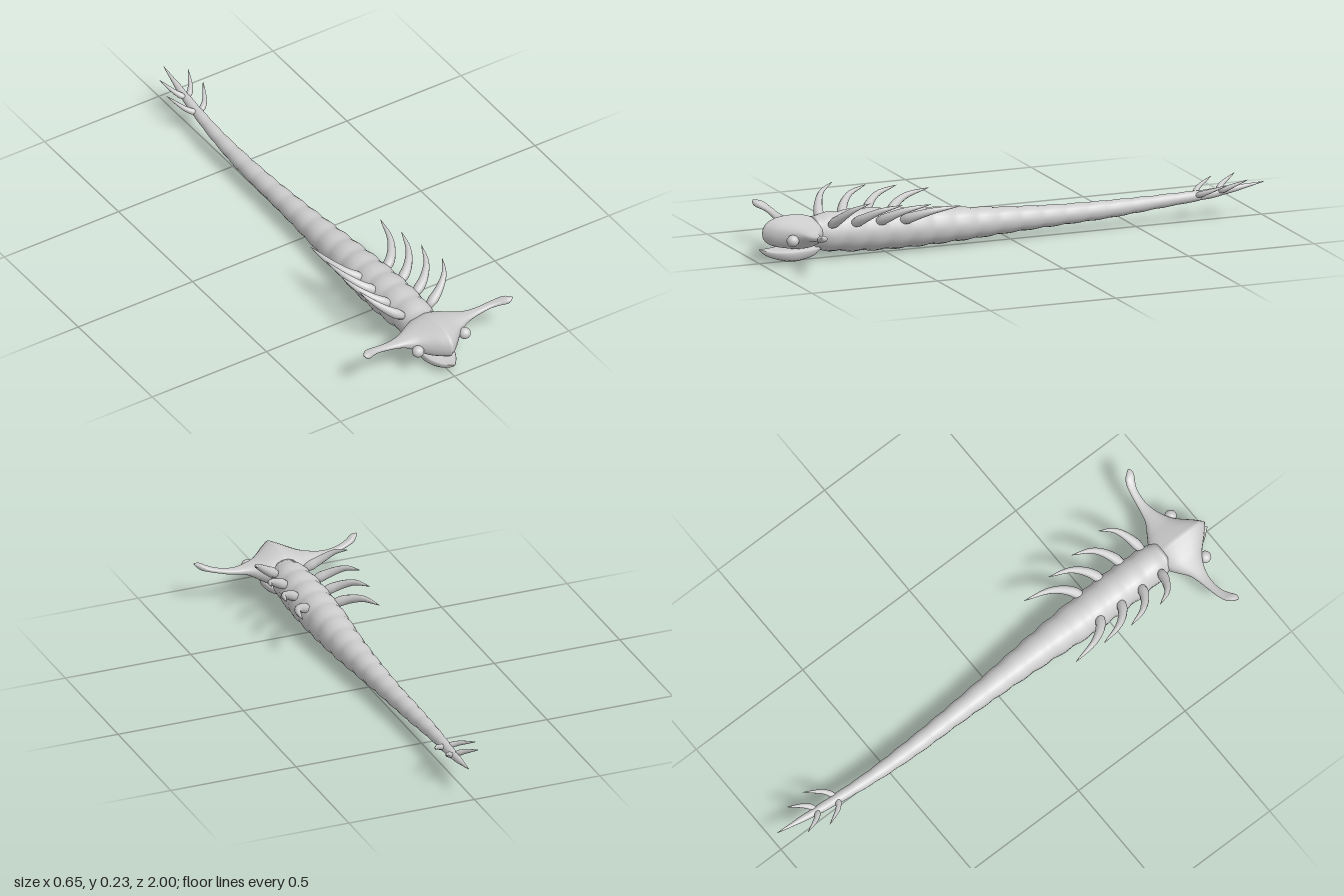
import * as THREE from 'three';

const V = (x, y, z) => new THREE.Vector3(x, y, z);

// Closed skin over a list of rings, each ring turning counter-clockwise about the travel direction
function loft(rings) {
  const n = rings[0].length, m = rings.length, pos = [], idx = [];
  rings.forEach(r => r.forEach(p => pos.push(p.x, p.y, p.z)));
  for (let i = 0; i < m - 1; i++) {
    for (let j = 0; j < n; j++) {
      const k = (j + 1) % n, a = i * n + j, b = i * n + k;
      idx.push(a, b, a + n, b, b + n, a + n);
    }
  }
  [0, m - 1].forEach((i, end) => {
    const c = rings[i].reduce((s, p) => s.add(p), V(0, 0, 0)).divideScalar(n);
    const centre = pos.length / 3;
    pos.push(c.x, c.y, c.z);
    for (let j = 0; j < n; j++) {
      const a = i * n + j, b = i * n + (j + 1) % n;
      if (end) idx.push(centre, a, b); else idx.push(centre, b, a);
    }
  });
  const g = new THREE.BufferGeometry();
  g.setAttribute('position', new THREE.Float32BufferAttribute(pos, 3));
  g.setIndex(idx);
  g.computeVertexNormals();
  return g;
}

const ring = (n, f) => Array.from({ length: n }, (_, j) => {
  const t = j / n * Math.PI * 2;
  return f(Math.cos(t), Math.sin(t));
});

// Makes a round section slightly boxy
const soft = (v, power) => Math.sign(v) * Math.pow(Math.abs(v), power);

// Smooth interpolation through rows of numbers; the first column is the key
function sampler(rows) {
  return key => {
    let i = 0;
    while (i < rows.length - 2 && key > rows[i + 1][0]) i++;
    const a = rows[i], b = rows[i + 1], p = rows[i - 1] || a, q = rows[i + 2] || b;
    const h = b[0] - a[0], t = (key - a[0]) / h;
    return a.map((v, c) => {
      const s0 = (b[c] - p[c]) / (b[0] - p[0]) * h, s1 = (q[c] - v) / (q[0] - a[0]) * h;
      const t2 = t * t, t3 = t2 * t;
      return (2 * t3 - 3 * t2 + 1) * v + (t3 - 2 * t2 + t) * s0 + (3 * t2 - 2 * t3) * b[c] + (t3 - t2) * s1;
    });
  };
}

// Curved spine that swells a little, then tapers to a point
function spine(points, radius) {
  const curve = new THREE.CatmullRomCurve3(points), n = 14;
  const { normals, binormals } = curve.computeFrenetFrames(n, false);
  const rings = [];
  for (let i = 0; i <= n; i++) {
    const t = i / n, c = curve.getPointAt(t);
    const r = radius * Math.max(0.02, Math.min(1, 0.6 + t * 3) * Math.pow(1 - t, 0.75));
    rings.push(ring(10, (u, v) =>
      c.clone().addScaledVector(normals[i], u * r).addScaledVector(binormals[i], v * r)));
  }
  return loft(rings);
}

export function createModel() {
  const model = new THREE.Group();
  const grey = new THREE.MeshStandardMaterial({ color: 0xcccccc });
  grey.name = 'light grey skin';
  const add = (name, geometry) => {
    const mesh = new THREE.Mesh(geometry, grey);
    mesh.name = name;
    model.add(mesh);
    return mesh;
  };

  // Segmented body and tail: distance back, centre x, centre y, radius
  const bodyAt = sampler([
    [-0.79, 0, 0.10, 0.062], [-0.74, 0, 0.098, 0.071], [-0.6, 0, 0.093, 0.079], [-0.4, 0, 0.085, 0.075],
    [-0.2, 0.002, 0.078, 0.062], [0, -0.001, 0.075, 0.049], [0.2, -0.005, 0.073, 0.039],
    [0.4, -0.009, 0.075, 0.033], [0.6, -0.007, 0.085, 0.025], [0.8, 0.006, 0.1, 0.0175],
    [0.9, 0.014, 0.114, 0.011], [1, 0.022, 0.13, 0.001],
  ]);
  const bodyRings = [];
  for (let i = 0; i <= 160; i++) {
    const d = -0.79 + 1.79 * i / 160;
    const [, x, y, r0] = bodyAt(d);
    const r = r0 * (0.94 + 0.08 * Math.abs(Math.sin(Math.PI * (d + 0.775) / 0.09)));
    bodyRings.push(ring(18, (u, v) => V(x - r * u, y + r * v, -d)));
  }
  add('segmentedBody', loft(bodyRings));

  // Head with side horns: x, bottom y, top y, back z, front z
  const headAt = sampler([
    [0, 0.053, 0.175, 0.765, 0.99], [0.03, 0.054, 0.166, 0.766, 0.965], [0.06, 0.058, 0.156, 0.772, 0.934],
    [0.09, 0.076, 0.146, 0.79, 0.905], [0.13, 0.099, 0.137, 0.815, 0.882], [0.17, 0.109, 0.132, 0.827, 0.870],
    [0.21, 0.115, 0.135, 0.834, 0.866], [0.25, 0.125, 0.143, 0.84, 0.871], [0.28, 0.132, 0.152, 0.847, 0.884],
    [0.3, 0.136, 0.161, 0.856, 0.896], [0.313, 0.143, 0.162, 0.868, 0.898], [0.325, 0.157, 0.161, 0.886, 0.892],
  ]);
  const headRings = [];
  for (let i = -40; i <= 40; i++) {
    const x = 0.325 * i / 40;
    const [, y0, y1, z0, z1] = headAt(Math.abs(x));
    headRings.push(ring(24, (u, v) =>
      V(x, (y0 + y1) / 2 + soft(u, 0.85) * (y1 - y0) / 2, (z0 + z1) / 2 + soft(v, 0.85) * (z1 - z0) / 2)));
  }
  add('hornedHead', loft(headRings));

  // Scoop-shaped lower jaw: z, half width, top y, bottom y
  const jawAt = sampler([
    [0.77, 0.035, 0.052, 0.034], [0.8, 0.053, 0.055, 0.016], [0.84, 0.06, 0.056, 0.005], [0.88, 0.06, 0.054, 0.001],
    [0.92, 0.053, 0.052, 0.008], [0.96, 0.034, 0.051, 0.021], [0.985, 0.015, 0.053, 0.035], [1, 0.003, 0.055, 0.05],
  ]);
  const jawRings = [];
  for (let i = 0; i <= 20; i++) {
    const [z, w, top, bottom] = jawAt(0.77 + 0.23 * i / 20);
    const rim = top - (top - bottom) * 0.25;
    jawRings.push(ring(16, (u, v) =>
      V(w * soft(u, 0.85), rim + soft(v, 0.75) * (v > 0 ? top - rim : rim - bottom), z)));
  }
  add('lowerJaw', loft(jawRings));

  // Back spines: base z, tip x, tip y, tip z
  const backSpines = [
    [0.735, 0.183, 0.235, 0.635], [0.645, 0.176, 0.215, 0.503],
    [0.55, 0.165, 0.205, 0.385], [0.455, 0.153, 0.186, 0.262],
  ];
  // Tail spines: base z, centre x, base y, tip reach, tip z
  const tailSpines = [[-0.735, 0.004, 0.098, 0.081, -0.832], [-0.825, 0.01, 0.108, 0.063, -0.915]];

  for (const side of [1, -1]) {
    const label = side > 0 ? 'left' : 'right';

    const eye = add(label + 'Eye', new THREE.SphereGeometry(0.023, 16, 12));
    eye.position.set(side * 0.102, 0.101, 0.91);
    eye.scale.y = 0.95;

    backSpines.forEach(([z, tx, ty, tz], i) => {
      const x = 0.055 - i * 0.003, y = 0.134 - i * 0.004;
      add(label + 'BackSpine' + (i + 1), spine([
        V(side * x, y, z + 0.004),
        V(side * (x + (tx - x) * 0.42), y + (ty - y) * 0.36, z - (z - tz) * 0.14),
        V(side * (x + (tx - x) * 0.78), y + (ty - y) * 0.74, z - (z - tz) * 0.46),
        V(side * tx, ty, tz),
      ], 0.022));
    });

    tailSpines.forEach(([z, cx, y, reach, tz], i) => {
      add(label + 'TailSpine' + (i + 1), spine([
        V(cx + side * 0.008, y, z),
        V(cx + side * reach * 0.5, y + 0.016, z - 0.025),
        V(cx + side * reach, y + 0.047, tz),
      ], 0.013));
    });
  }
  return model;
}
